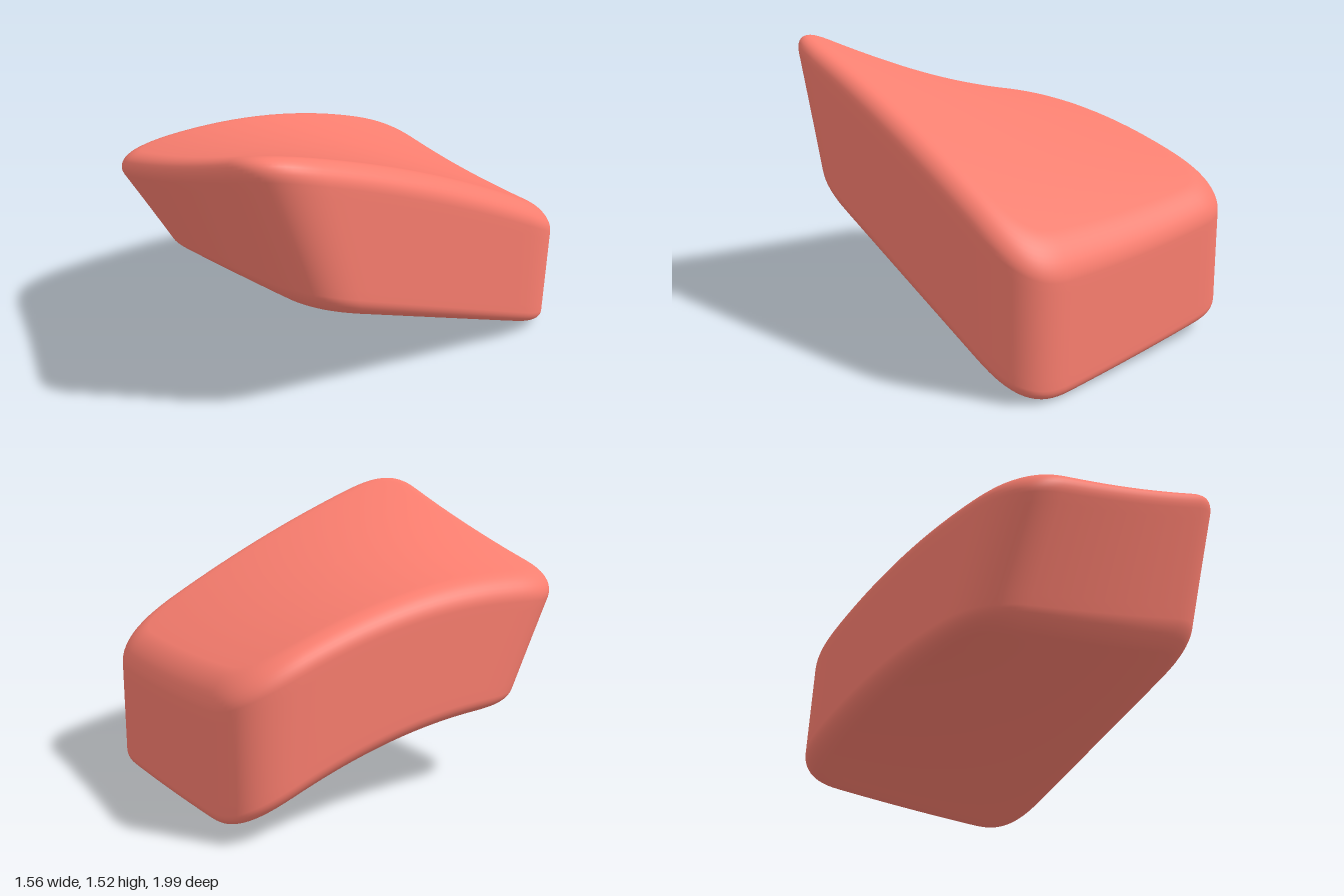
import * as THREE from 'three';

const HALF_X = 0.78;
const BOTTOM = { inset: 0.11, level: 0.13 };
const TOP = { inset: 0.13, level: 0.17 };
const lerp = THREE.MathUtils.lerp;
const soft = (v) => Math.sign(v) * Math.abs(v) ** (2 / 3);

// Footprint outline: rectangle with soft corners, inset by d, with subdivided sides
function outline(d) {
  const pts = [], rx = 0.32 - d * 0.8, rz = 0.42 - d * 0.8;
  const cx = HALF_X - d - rx, cz = 1 - d - rz;
  const corners = [[1, 1], [-1, 1], [-1, -1], [1, -1]];
  const arc = ([sx, sz], a) => [sx * cx + rx * soft(Math.cos(a)), sz * cz + rz * soft(Math.sin(a))];
  corners.forEach((corner, k) => {
    for (let i = 0; i <= 18; i++) pts.push(arc(corner, (k + i / 18) * Math.PI / 2));
    const [px, pz] = pts[pts.length - 1];
    const [ex, ez] = arc(corners[(k + 1) % 4], (k + 1) * Math.PI / 2);
    for (let i = 1; i < 14; i++) pts.push([lerp(px, ex, i / 14), lerp(pz, ez, i / 14)]);
  });
  return pts;
}

// Bends the upright block: arched on the right, steeply sloped on the left
function bend(x, w, t) {
  const s = (x + 0.7) / 1.4;
  const length = lerp(1.7, lerp(2.045, 1.985, s), t);
  const z = -1 + (w + 1) / 2 * length;
  const arch = -0.16 * (z - 0.5) ** 2;
  const dip = 1 - (x / 0.7) ** 2;
  const bottom = lerp(0.42 + arch, 0.425 + 0.45 * z, s) - 0.01 * dip;
  const top = lerp(1.12 + arch, 1.24 + 0.455 * z - 0.08 * z * z, s) - 0.035 * dip;
  return [x, lerp(bottom, top, t), z];
}

function createBody() {
  // Each ring is [inset, level, scale], from the bottom centre to the top centre
  const rings = [];
  for (let i = 0; i < 16; i++) rings.push([BOTTOM.inset, 0, i / 16]);
  for (let i = 0; i <= 10; i++) {
    const a = i / 10 * Math.PI / 2;
    rings.push([BOTTOM.inset * (1 - Math.sin(a)), BOTTOM.level * (1 - Math.cos(a)), 1]);
  }
  for (let i = 1; i < 10; i++) rings.push([0, lerp(BOTTOM.level, 1 - TOP.level, i / 10), 1]);
  for (let i = 10; i >= 0; i--) {
    const a = i / 10 * Math.PI / 2;
    rings.push([TOP.inset * (1 - Math.sin(a)), 1 - TOP.level * (1 - Math.cos(a)), 1]);
  }
  for (let i = 15; i >= 0; i--) rings.push([TOP.inset, 1, i / 16]);

  const positions = [], indices = [];
  let n = 0;
  rings.forEach(([d, t, scale], r) => {
    const pts = outline(d);
    n = pts.length;
    pts.forEach(([x, w]) => positions.push(...bend(x * scale, w * scale, t)));
    if (r === 0) return;
    for (let j = 0; j < n; j++) {
      const a = (r - 1) * n + j, b = (r - 1) * n + (j + 1) % n;
      indices.push(a, a + n, b, b, a + n, b + n);
    }
  });

  const geometry = new THREE.BufferGeometry();
  geometry.setAttribute('position', new THREE.Float32BufferAttribute(positions, 3));
  geometry.setIndex(indices);
  geometry.computeBoundingBox();
  geometry.translate(0, -geometry.boundingBox.min.y, 0);
  geometry.computeVertexNormals();

  // Both cap centres are single points, so they share the cap's normal
  const normal = geometry.attributes.normal, last = (rings.length - 1) * n;
  for (let j = 0; j < n; j++) {
    normal.setXYZ(j, normal.getX(n), normal.getY(n), normal.getZ(n));
    normal.setXYZ(last + j, normal.getX(last - n), normal.getY(last - n), normal.getZ(last - n));
  }
  return geometry;
}

export function createModel() {
  const group = new THREE.Group();
  const body = new THREE.Mesh(createBody(), new THREE.MeshStandardMaterial({ color: 0xfc7f70 }));
  body.name = 'twistedBlock';
  group.add(body);
  return group;
}
